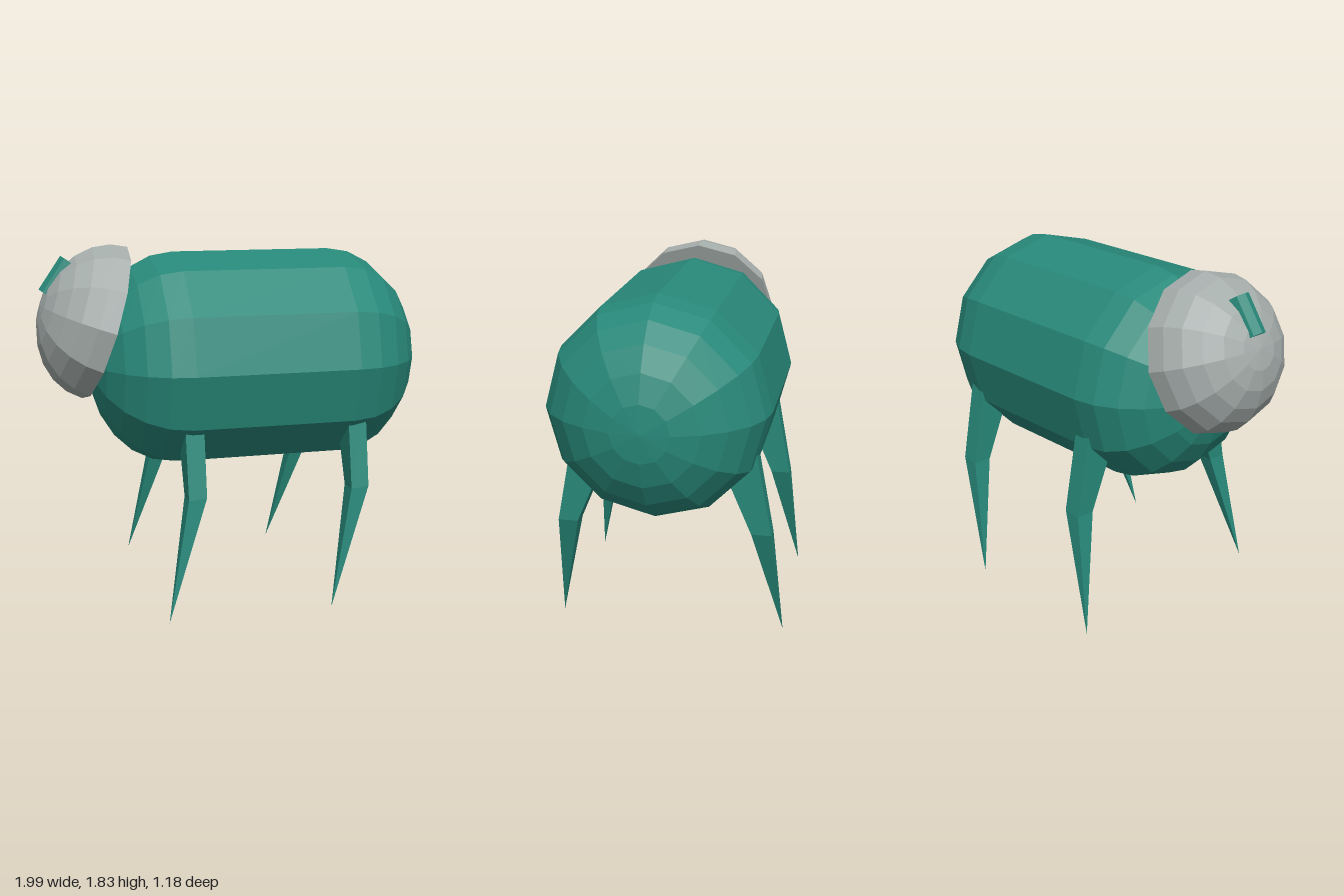
import * as THREE from 'three';

const green = new THREE.MeshStandardMaterial({ color: 0x28897a, flatShading: true });
green.name = 'green';
const grey = new THREE.MeshStandardMaterial({ color: 0xa5adab, flatShading: true });
grey.name = 'grey';

function mesh(name, geometry, material) {
  const m = new THREE.Mesh(geometry, material);
  m.name = name;
  return m;
}

// Quarter-ellipse profile from the rim up to the pole, offset along the axis
function domeProfile(radius, height, base) {
  const points = [];
  for (let i = 0; i <= 6; i++) {
    const a = (i / 6) * Math.PI / 2;
    points.push(new THREE.Vector2(i === 6 ? 0 : radius * Math.cos(a), base + height * Math.sin(a)));
  }
  return points;
}

// Leg lofted through hip and knee rectangles to a pointed foot; side is +1 front, -1 back
function legGeometry(side) {
  const hip = [[-0.335, 1.04, 0.26], [-0.24, 1.04, 0.26], [-0.24, 1.04, 0.46], [-0.335, 1.04, 0.46]];
  const knee = [[-0.335, 0.61, 0.44], [-0.243, 0.62, 0.44], [-0.243, 0.62, 0.54], [-0.335, 0.61, 0.54]];
  const foot = [-0.45, 0, 0.59];
  const positions = [];
  const tri = (a, b, c) => {
    for (const p of side > 0 ? [a, b, c] : [a, c, b]) positions.push(p[0], p[1], p[2] * side);
  };
  for (let i = 0; i < 4; i++) {
    const j = (i + 1) % 4;
    tri(hip[i], hip[j], knee[j]);
    tri(hip[i], knee[j], knee[i]);
    tri(knee[i], knee[j], foot);
  }
  tri(hip[0], hip[2], hip[1]);
  tri(hip[0], hip[3], hip[2]);
  const g = new THREE.BufferGeometry();
  g.setAttribute('position', new THREE.Float32BufferAttribute(positions, 3));
  g.computeVertexNormals();
  return g;
}

export function createModel() {
  const model = new THREE.Group();
  model.name = 'creature';

  // Twelve-sided capsule body lying along x
  const cap = domeProfile(0.555, 0.45, 0.42);
  const lower = cap.map((p) => new THREE.Vector2(p.x, -p.y)).reverse();
  const body = mesh('body', new THREE.LatheGeometry([...lower, ...cap], 12), green);
  body.rotation.z = -Math.PI / 2;
  body.position.set(0.12, 1.237, 0.03);
  model.add(body);

  // Tilted half-dome head with a flat back
  const headProfile = [new THREE.Vector2(0, 0), ...domeProfile(0.405, 0.342, 0)];
  const head = mesh('head', new THREE.LatheGeometry(headProfile, 12), grey);
  head.rotation.z = THREE.MathUtils.degToRad(72);
  head.position.set(-0.655, 1.435, 0.03);
  model.add(head);

  // Small snout stub sunk into the head
  const snout = mesh('snout', new THREE.CylinderGeometry(0.06, 0.06, 0.2, 8), green);
  snout.rotation.z = THREE.MathUtils.degToRad(-34.5);
  snout.position.set(-0.877, 1.666, 0.03);
  model.add(snout);

  // Two pairs of pointed legs
  for (const side of [1, -1]) {
    const geometry = legGeometry(side);
    for (const [end, x] of [['right', 0], ['left', 0.852]]) {
      const leg = mesh(`${end}${side > 0 ? 'Front' : 'Back'}Leg`, geometry, green);
      leg.position.x = x;
      model.add(leg);
    }
  }
  return model;
}
